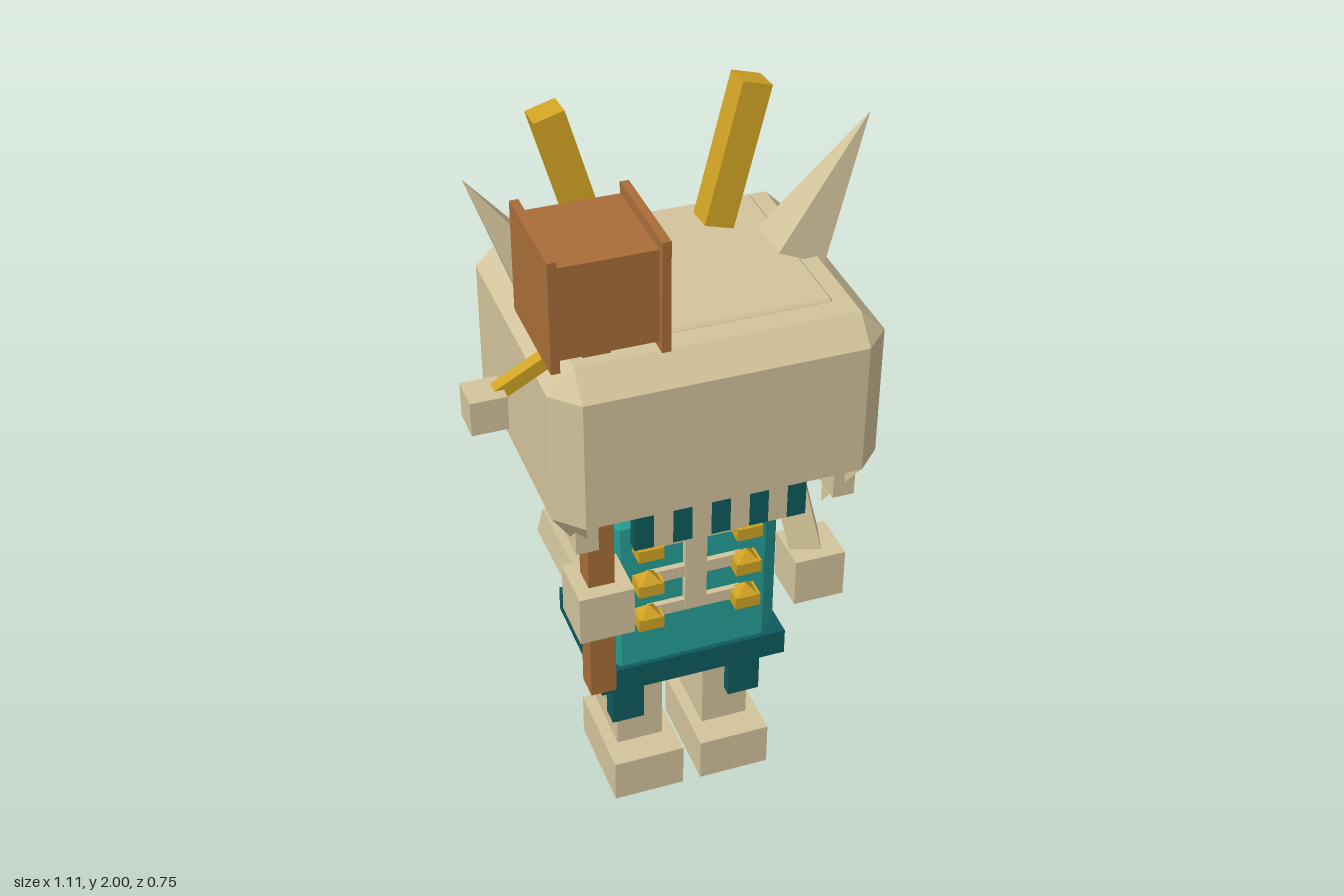
import * as THREE from 'three';
import { ConvexGeometry } from 'three/addons/geometries/ConvexGeometry.js';

const CX = 0.043; // mirror plane of the figure

function material(name, color) {
  const m = new THREE.MeshStandardMaterial({ color });
  m.name = name;
  return m;
}

export function createModel() {
  const bone = material('bone', 0xd3c49b);
  const teal = material('teal', 0x259d95);
  const darkTeal = material('dark teal', 0x0e5a5e);
  const gold = material('gold', 0xd0a324);
  const wood = material('wood', 0xa86d37);
  const model = new THREE.Group();
  const V = (x, y, z) => new THREE.Vector3(x, y, z);

  function add(name, geometry, mat) {
    const mesh = new THREE.Mesh(geometry, mat);
    mesh.name = name;
    model.add(mesh);
    return mesh;
  }
  // axis-aligned box from its limits
  function box(name, mat, x0, x1, y0, y1, z0, z1) {
    const mesh = add(name, new THREE.BoxGeometry(x1 - x0, y1 - y0, z1 - z0), mat);
    mesh.position.set((x0 + x1) / 2, (y0 + y1) / 2, (z0 + z1) / 2);
    return mesh;
  }
  // square bar between two points
  function bar(name, mat, a, b, w, d = w) {
    const mesh = add(name, new THREE.BoxGeometry(w, a.distanceTo(b), d), mat);
    mesh.position.copy(a).add(b).multiplyScalar(0.5);
    mesh.quaternion.setFromUnitVectors(V(0, 1, 0), b.clone().sub(a).normalize());
    return mesh;
  }
  // box with cut vertical edges, and cut top and bottom edges
  function chamferBox(name, mat, x0, x1, y0, y1, z0, z1, c, cTop, cBottom) {
    const pts = [];
    const ring = (y, i, cut) => {
      for (const sx of [0, 1]) for (const sz of [0, 1]) {
        const x = sx ? x1 - i : x0 + i, z = sz ? z1 - i : z0 + i;
        const dx = sx ? -cut : cut, dz = sz ? -cut : cut;
        pts.push(V(x + dx, y, z));
        if (cut) pts.push(V(x, y, z + dz));
      }
    };
    if (cBottom) ring(y0, c, 0);
    ring(y0 + cBottom, 0, c);
    ring(y1 - cTop, 0, c);
    if (cTop) ring(y1, c, 0);
    return add(name, new ConvexGeometry(pts), mat);
  }

  // head with slightly raised crown plate
  chamferBox('head', bone, -0.38, 0.468, 1.165, 1.59, -0.377, 0.363, 0.066, 0.066, 0);
  chamferBox('crownPlate', bone, -0.267, 0.356, 1.57, 1.598, -0.305, 0.237, 0.007, 0.007, 0);

  // jaw: back wall open to the inside
  const jawBack = add('jawBack', new THREE.PlaneGeometry(0.64, 0.115), bone);
  jawBack.position.set(CX, 1.1075, -0.365);
  jawBack.rotation.y = Math.PI;

  // row of teeth with gaps between them
  for (let i = 0; i < 9; i++) {
    const x = -0.182 + i * 0.0502;
    box(i % 2 ? 'tooth' : 'toothGap', i % 2 ? bone : darkTeal, x, x + 0.0502, 1.038, 1.142, 0.3, 0.33);
  }

  // torso, belt and back pack
  chamferBox('torso', teal, -0.21, 0.296, 0.4, 1.005, -0.21, 0.145, 0.052, 0.05, 0.05);
  box('belt', darkTeal, -0.22, 0.308, 0.412, 0.49, -0.222, 0.158);
  box('backPack', darkTeal, -0.162, 0.248, 0.52, 0.94, -0.285, -0.2);

  // chest lacing
  box('chestSpine', bone, 0.013, 0.073, 0.665, 0.925, 0.14, 0.165);
  for (const y of [0.905, 0.787, 0.672]) {
    box('chestBar', bone, CX - 0.13, CX + 0.13, y - 0.018, y + 0.018, 0.14, 0.162);
  }

  for (const s of [-1, 1]) {
    const X = d => CX + s * d;
    const sideBox = (name, mat, d0, d1, ...rest) =>
      box(name, mat, Math.min(X(d0), X(d1)), Math.max(X(d0), X(d1)), ...rest);

    sideBox('jawSide', bone, 0.31, 0.368, 1.05, 1.165, -0.31, 0.31);

    // fangs under the head corners
    for (const f of [-1, 1]) {
      const Z = d => -0.007 + f * d;
      add('cornerFang', new ConvexGeometry([
        V(X(0.424), 1.166, Z(0.304)), V(X(0.358), 1.166, Z(0.37)),
        V(X(0.312), 1.166, Z(0.242)), V(X(0.314), 0.985, Z(0.242)),
      ]), bone);
    }

    // horn and gold crest bar
    add('horn', new ConvexGeometry([
      V(X(0.255), 1.62, -0.104), V(X(0.255), 1.62, 0.034),
      V(X(0.378), 1.565, -0.104), V(X(0.378), 1.565, 0.034),
      V(X(0.51), 1.93, -0.035),
    ]), bone);
    bar('crestBar', gold, V(X(0.16), 1.62, -0.168), V(X(0.263), 1.985, -0.193), 0.08);

    // leg, foot and skirt flap
    sideBox('leg', bone, 0.06, 0.193, 0.12, 0.415, -0.127, 0.07);
    sideBox('foot', bone, 0.026, 0.228, 0, 0.132, -0.14, 0.153);
    sideBox('skirtFlap', darkTeal, 0.125, 0.216, 0.245, 0.415, 0.05, 0.102);

    // gold chest studs: small block with a pointed cap
    for (const y of [0.905, 0.787, 0.672]) {
      sideBox('stud', gold, 0.1, 0.17, y - 0.025, y + 0.013, 0.145, 0.2);
      const cap = add('studCap', new THREE.ConeGeometry(0.04, 0.03, 4).toNonIndexed(), gold);
      cap.geometry.computeVertexNormals();
      cap.rotation.y = Math.PI / 4;
      cap.position.set(X(0.135), y + 0.027, 0.173);
    }
  }

  // free arm on the left
  bar('leftArm', bone, V(0.363, 0.937, -0.035), V(0.415, 0.65, 0.037), 0.085);
  box('leftHand', bone, 0.35, 0.494, 0.54, 0.685, -0.027, 0.117);

  // right arm reaching forward to the staff
  bar('rightArm', bone, V(-0.278, 0.9, -0.035), V(-0.25, 0.835, 0.22), 0.085);
  box('rightHand', bone, -0.32, -0.175, 0.755, 0.897, 0.16, 0.307);

  // hammer: shaft, block and end plates
  box('hammerShaft', wood, -0.283, -0.214, 0.53, 1.7, 0.197, 0.267);
  box('hammerBlock', wood, -0.37, -0.128, 1.66, 1.9, 0.095, 0.36);
  for (const x of [-0.39, -0.127]) {
    box('hammerPlate', wood, x, x + 0.022, 1.637, 1.925, 0.085, 0.375);
  }

  // gold strap and the weight hanging from it
  bar('strap', gold, V(-0.5, 1.505, 0.228), V(-0.245, 1.645, 0.228), 0.034);
  bar('strapEnd', gold, V(-0.245, 1.645, 0.228), V(-0.1, 1.575, 0.228), 0.034);
  box('strapWeight', bone, -0.556, -0.466, 1.44, 1.53, 0.185, 0.275);

  return model;
}
